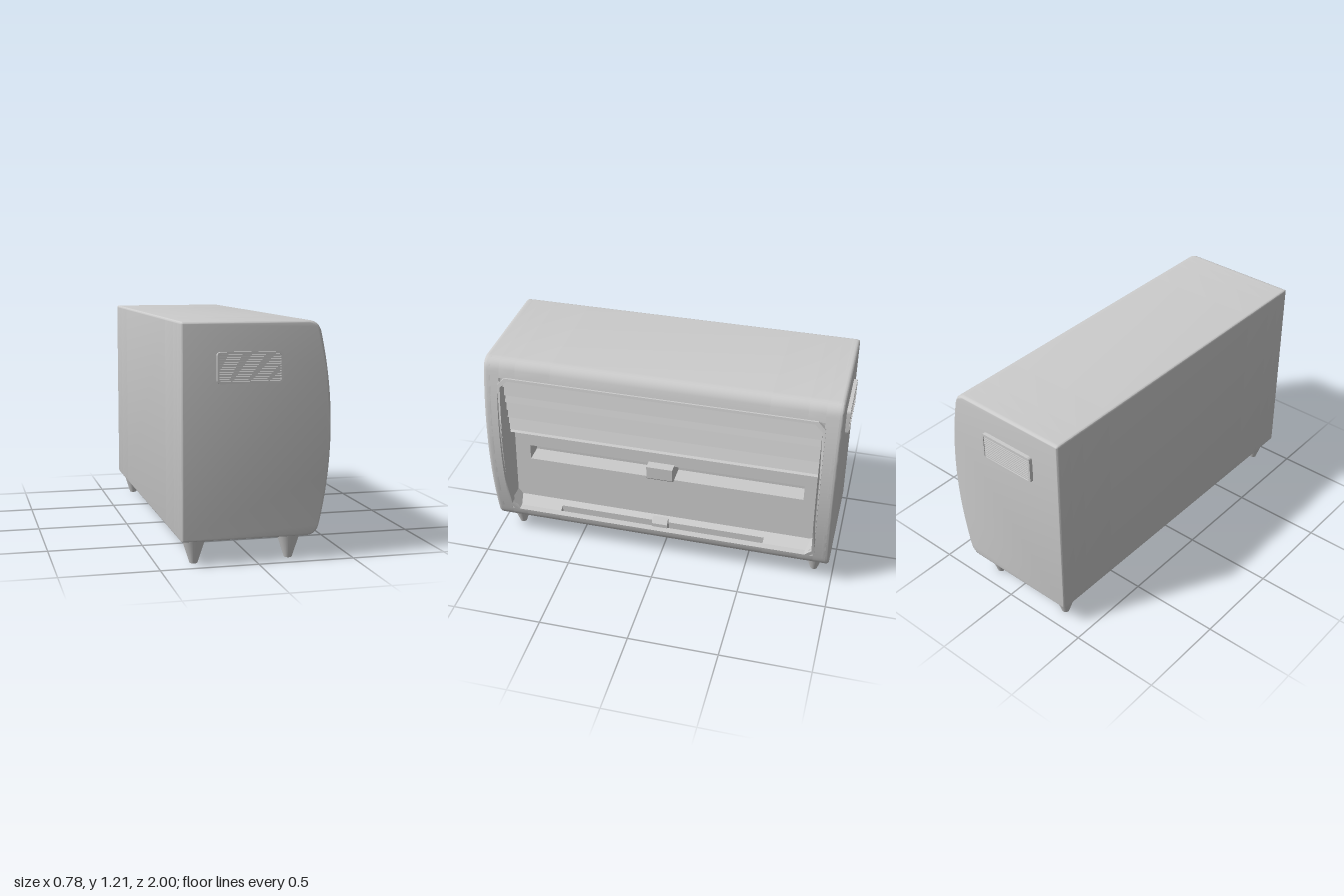
import * as THREE from 'three';
import { toCreasedNormals } from 'three/addons/utils/BufferGeometryUtils.js';

const MAT = new THREE.MeshStandardMaterial({ color: 0xcccccc, side: THREE.DoubleSide });
const Y0 = 0.125, Y1 = 1.21, BACK = -0.39, END = 0.98, INNER = 0.89;
const OPEN_LOW = 0.205, OPEN_HIGH = 1.11;

// bulging front of the housing
const frontX = (y) => 0.38 - 0.24 * (y - 0.67) ** 2;
const lerp = THREE.MathUtils.lerp;
const v2 = (x, y) => new THREE.Vector2(x, y);

function add(parent, name, geometry, x = 0, y = 0, z = 0) {
  const mesh = new THREE.Mesh(geometry, MAT);
  mesh.name = name;
  mesh.position.set(x, y, z);
  parent.add(mesh);
  return mesh;
}

function extrude(shape, depth, options = {}) {
  const g = new THREE.ExtrudeGeometry(shape, { depth, bevelEnabled: false, curveSegments: 8, ...options });
  return toCreasedNormals(g, 0.55);
}

// points up the front curve between two heights
function frontRun(a, b, n) {
  return Array.from({ length: n + 1 }, (_, i) => {
    const y = lerp(a, b, i / n);
    return v2(frontX(y), y);
  });
}

function corner(a, b, c) {
  return new THREE.QuadraticBezierCurve(a, b, c).getPoints(6);
}

// housing outline seen from the end; "front" is the run between its two rounded corners
function housing(front) {
  const r = 0.012;
  return new THREE.Shape([
    ...corner(v2(BACK, Y0 + r), v2(BACK, Y0), v2(BACK + r, Y0)),
    ...corner(v2(0.26, Y0), v2(0.306, Y0 + 0.003), v2(frontX(0.175), 0.175)),
    ...front,
    ...corner(v2(frontX(1.16), 1.16), v2(0.306, Y1 - 0.003), v2(0.26, Y1)),
    ...corner(v2(BACK + r, Y1), v2(BACK, Y1), v2(BACK, Y1 - r)),
  ]);
}

// recessed front: floor, back panel, stepped shutter, with optional slots
function recess(panelSlot, floorSlot) {
  const floorY = (x) => lerp(0.235, OPEN_LOW, (x - 0.22) / 0.108);
  const panelX = (y) => lerp(0.22, 0.19, (y - 0.235) / 0.435);
  const pts = [v2(frontX(OPEN_LOW), OPEN_LOW)];
  if (floorSlot) pts.push(v2(0.3, floorY(0.3)), v2(0.3, 0.175), v2(0.262, 0.175), v2(0.262, floorY(0.262)));
  pts.push(v2(0.22, 0.235));
  if (panelSlot) pts.push(v2(panelX(0.49), 0.49), v2(0.1, 0.49), v2(0.1, 0.58), v2(panelX(0.58), 0.58));
  pts.push(v2(0.19, 0.67));
  const edges = [0.7, 0.72, 0.765, 0.81, 0.865, 0.92, 0.97, 1.03, 1.09];
  const slatX = (y) => lerp(0.255, 0.305, (y - 0.7) / 0.39);
  for (let i = 0; i < edges.length - 1; i++) {
    pts.push(v2(slatX(edges[i]), edges[i]), v2(slatX(edges[i + 1]) - 0.024, edges[i + 1]));
  }
  pts.push(v2(0.3, 1.095), v2(frontX(OPEN_HIGH), OPEN_HIGH));
  return pts;
}

// opening outline with cut corners; sides are subdivided so they can follow the bulge
function openingOutline(w, low, high, cut) {
  const pts = [v2(-w + cut, low), v2(w - cut, low)];
  const n = 24;
  for (let i = 0; i <= n; i++) pts.push(v2(w, lerp(low + cut, high - cut, i / n)));
  pts.push(v2(w - cut, high), v2(-w + cut, high));
  for (let i = n; i >= 0; i--) pts.push(v2(-w, lerp(low + cut, high - cut, i / n)));
  return pts;
}

function roundedRect(w, h, r, Type = THREE.Shape) {
  const s = new Type(), x = w / 2, y = h / 2;
  s.absarc(x - r, y - r, r, 0, Math.PI / 2);
  s.absarc(-x + r, y - r, r, Math.PI / 2, Math.PI);
  s.absarc(-x + r, -y + r, r, Math.PI, Math.PI * 1.5);
  s.absarc(x - r, -y + r, r, Math.PI * 1.5, Math.PI * 2);
  s.closePath();
  return s;
}

export function createModel() {
  const model = new THREE.Group();
  model.name = 'heaterCabinet';

  // middle of the body in lengths, so the slots stop short of the ends
  const body = new THREE.Group();
  body.name = 'body';
  model.add(body);
  const spans = [[-INNER, -0.8], [-0.8, -0.6], [-0.6, 0.6], [0.6, 0.8], [0.8, INNER]];
  for (const [a, b] of spans) {
    const mid = Math.abs((a + b) / 2);
    add(body, 'bodySection', extrude(housing(recess(mid < 0.8, mid < 0.6)), b - a), 0, 0, a);
  }

  // end cheeks with softened outer edges
  const cheekShape = housing(frontRun(0.2, 1.14, 28));
  const bevel = 0.02;
  for (const side of [-1, 1]) {
    const core = END - bevel - INNER;
    add(body, 'cheekCore', extrude(cheekShape, core), 0, 0, side > 0 ? INNER : -INNER - core);
    const capDepth = 0.02;
    const cap = extrude(cheekShape, capDepth, {
      bevelEnabled: true, bevelSize: 0.012, bevelOffset: -0.012, bevelThickness: bevel, bevelSegments: 4,
    });
    add(body, 'cheekCap', cap, 0, 0, side > 0 ? END - bevel - capDepth : -END + bevel);
  }

  // raised lip around the opening, bent to the front curve
  const lipShape = new THREE.Shape(openingOutline(0.898, OPEN_LOW - 0.005, OPEN_HIGH + 0.005, 0.04));
  lipShape.holes.push(new THREE.Path(openingOutline(0.882, OPEN_LOW + 0.008, OPEN_HIGH - 0.01, 0.04)));
  const lip = new THREE.ExtrudeGeometry(lipShape, { depth: 0.04, bevelEnabled: false });
  lip.rotateY(Math.PI / 2);
  const p = lip.attributes.position;
  for (let i = 0; i < p.count; i++) p.setX(i, p.getX(i) + frontX(p.getY(i)) - 0.031);
  add(model, 'openingLip', toCreasedNormals(lip, 0.5));

  // sloping fillets in the corners of the opening
  for (const side of [-1, 1]) {
    for (const [y, dir, x0] of [[OPEN_LOW, 1, 0.2], [OPEN_HIGH, -1, 0.28]]) {
      const tri = new THREE.Shape([
        v2(-side * INNER, y), v2(-side * (INNER - 0.055), y), v2(-side * INNER, y + dir * 0.06),
      ]);
      const g = extrude(tri, 0.325 - x0);
      g.rotateY(Math.PI / 2);
      add(model, 'cornerFillet', g, x0);
    }
  }

  // sliding controls
  const knob = new THREE.Shape([v2(0.1, 0.492), v2(0.225, 0.492), v2(0.25, 0.515), v2(0.25, 0.59), v2(0.1, 0.59)]);
  add(model, 'panelSlider', extrude(knob, 0.15), 0, 0, -0.06);
  const tab = new THREE.Shape([v2(0.262, 0.18), v2(0.305, 0.18), v2(0.305, 0.235), v2(0.285, 0.257), v2(0.262, 0.257)]);
  add(model, 'floorSlider', extrude(tab, 0.09), 0, 0, -0.043);

  // vents on both ends
  for (const side of [-1, 1]) {
    const vent = new THREE.Group();
    vent.name = side > 0 ? 'leftVent' : 'rightVent';
    vent.position.set(-0.047, 0.985, side * 0.98);
    model.add(vent);
    const rim = roundedRect(0.335, 0.155, 0.018);
    rim.holes.push(roundedRect(0.312, 0.132, 0.01, THREE.Path));
    add(vent, 'ventFrame', extrude(rim, 0.03), 0, 0, -0.015 + side * 0.005);
    for (let i = 0; i < 11; i++) {
      add(vent, 'ventSlat', new THREE.BoxGeometry(0.315, 0.007, 0.026), 0, -0.06 + i * 0.012, side * 0.003);
    }
  }

  // tapered feet
  for (const x of [-0.31, 0.185]) {
    for (const z of [-0.89, 0.89]) {
      add(model, 'foot', new THREE.CylinderGeometry(0.062, 0.02, 0.13, 24), x, 0.065, z);
    }
  }
  return model;
}
